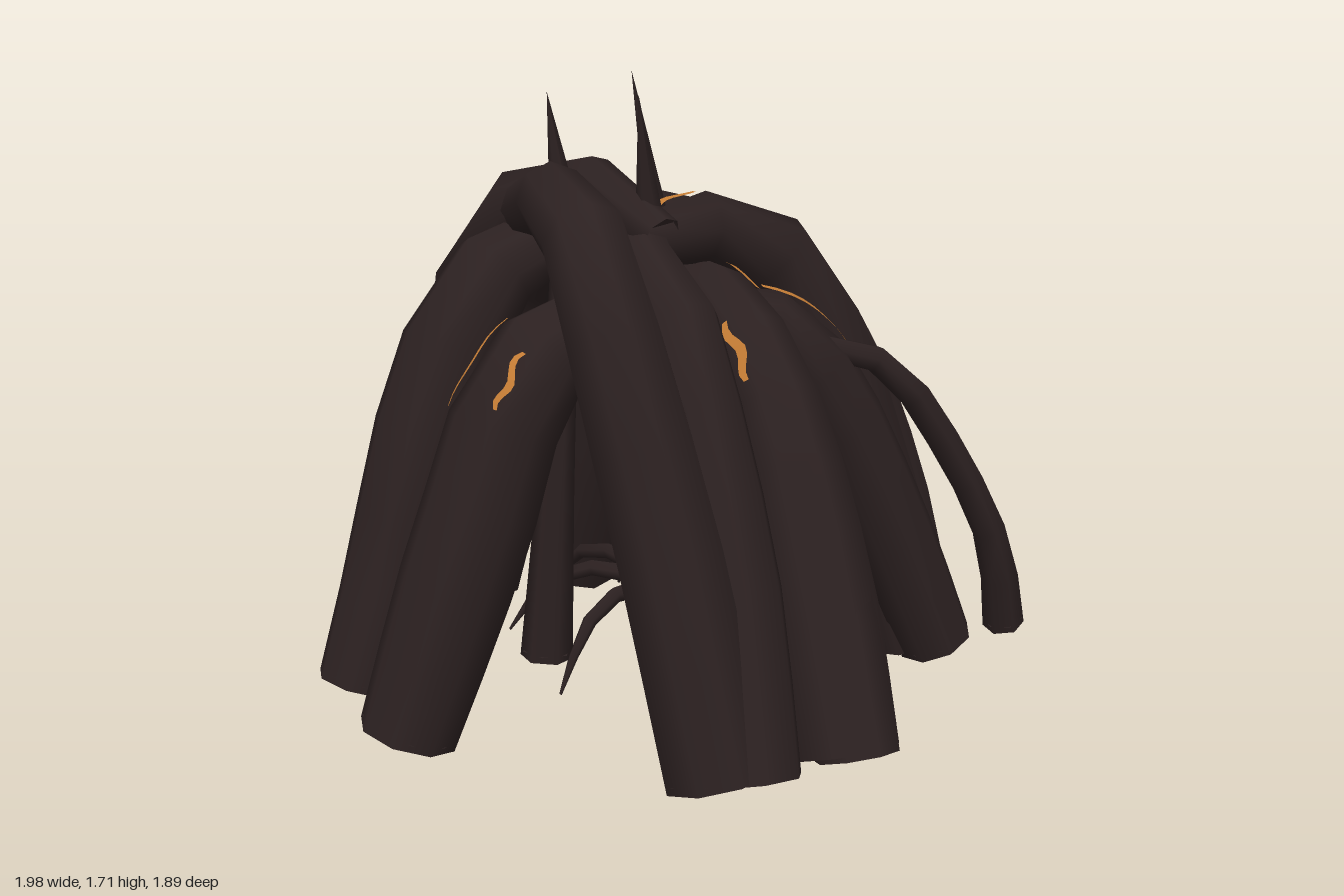
import * as THREE from 'three';

const bark = new THREE.MeshStandardMaterial({ color: 0x2c2121, side: THREE.DoubleSide });
bark.name = 'darkBark';
const amber = new THREE.MeshStandardMaterial({ color: 0xc57d35, side: THREE.DoubleSide });
amber.name = 'amber';

const V = (p) => new THREE.Vector3(...p);

function addMesh(parent, name, geometry, material = bark) {
  const mesh = new THREE.Mesh(geometry, material);
  mesh.name = name;
  parent.add(mesh);
  return mesh;
}

// Radius at u, with the radii spread evenly along the path
function radiusAt(radii, u) {
  const f = u * (radii.length - 1);
  const k = Math.min(Math.floor(f), radii.length - 2);
  return THREE.MathUtils.lerp(radii[k], radii[k + 1], f - k);
}

// Tapering tube
function limbGeometry(curve, radii, segments, sides) {
  const geo = new THREE.TubeGeometry(curve, segments, 1, sides, false);
  const pos = geo.attributes.position;
  const v = new THREE.Vector3();
  for (let i = 0; i <= segments; i++) {
    const centre = curve.getPointAt(i / segments);
    const r = radiusAt(radii, i / segments);
    for (let j = 0; j <= sides; j++) {
      const n = i * (sides + 1) + j;
      v.fromBufferAttribute(pos, n).sub(centre).multiplyScalar(r).add(centre);
      pos.setXYZ(n, v.x, v.y, v.z);
    }
  }
  return geo;
}

// A drooping limb with recessed end caps
function limb(parent, name, points, radii, segments = 7, sides = 8) {
  const curve = new THREE.CatmullRomCurve3(points.map(V));
  const group = new THREE.Group();
  group.name = name;
  parent.add(group);
  addMesh(group, 'shaft', limbGeometry(curve, radii, segments, sides));
  [[0, -1, radii[0]], [1, 1, radii[radii.length - 1]]].forEach(([u, sign, r]) => {
    const cap = addMesh(group, 'endCap', new THREE.CircleGeometry(r * 0.97, sides));
    const dir = curve.getTangentAt(u).multiplyScalar(sign);
    cap.position.copy(curve.getPointAt(u)).addScaledVector(dir, -0.02);
    cap.quaternion.setFromUnitVectors(new THREE.Vector3(0, 0, 1), dir);
  });
  return { curve, radii };
}

// Thin wavering ribbon lying on a limb's surface
function crack(parent, { curve, radii }, u0, u1, outward, width) {
  const verts = [], index = [], steps = 8;
  for (let i = 0; i <= steps; i++) {
    const u = THREE.MathUtils.lerp(u0, u1, i / steps);
    const t = curve.getTangentAt(u);
    const out = V(outward);
    out.addScaledVector(t, -out.dot(t)).normalize();
    const side = new THREE.Vector3().crossVectors(t, out);
    const p = curve.getPointAt(u).addScaledVector(out, radiusAt(radii, u) + 0.003);
    p.addScaledVector(side, 0.01 * Math.sin(i * 1.1));
    const w = width * (0.5 + 0.5 * Math.sin((Math.PI * i) / steps));
    for (const s of [-w, w]) verts.push(...p.clone().addScaledVector(side, s).toArray());
    if (i < steps) {
      const a = i * 2;
      index.push(a, a + 1, a + 2, a + 1, a + 3, a + 2);
    }
  }
  const geo = new THREE.BufferGeometry();
  geo.setAttribute('position', new THREE.Float32BufferAttribute(verts, 3));
  geo.setIndex(index);
  geo.computeVertexNormals();
  addMesh(parent, 'amberCrack', geo, amber);
}

export function createModel() {
  const model = new THREE.Group();
  model.name = 'droopingRootMound';

  // Front limbs
  limb(model, 'frontOuterLimb', [[-0.33, 1.34, -0.2], [-0.38, 1.4, 0.08], [-0.41, 1.31, 0.36], [-0.4, 1.04, 0.51],
    [-0.34, 0.6, 0.65], [-0.28, 0.06, 0.79]], [0.08, 0.11, 0.13, 0.14, 0.14]);
  limb(model, 'frontMiddleLimb', [[-0.1, 1.3, 0.0], [-0.18, 1.23, 0.2], [-0.18, 1.13, 0.38], [-0.18, 0.93, 0.49],
    [-0.18, 0.55, 0.64], [-0.21, 0.05, 0.81]], [0.07, 0.1, 0.12, 0.14, 0.14]);
  const front = limb(model, 'frontInnerLimb', [[0.05, 1.1, -0.2], [0.06, 1.12, 0.0], [0.06, 1.09, 0.22], [0.07, 0.92, 0.42],
    [0.08, 0.55, 0.61], [0.08, 0.06, 0.8]], [0.09, 0.1, 0.115, 0.14, 0.15, 0.14], 9);
  limb(model, 'frontInnerStrand', [[0.07, 1.08, 0.34], [0.07, 0.92, 0.46], [0.09, 0.55, 0.65], [0.09, 0.06, 0.84]],
    [0.05, 0.08, 0.11, 0.11]);

  // Back limbs
  limb(model, 'backOuterLimb', [[-0.13, 1.3, 0.2], [-0.18, 1.4, 0.02], [-0.28, 1.37, -0.2], [-0.37, 1.22, -0.39],
    [-0.37, 0.9, -0.5], [-0.35, 0.5, -0.64], [-0.32, 0.08, -0.79]], [0.06, 0.11, 0.14, 0.15, 0.14]);
  limb(model, 'backOuterStrand', [[-0.25, 1.22, -0.22], [-0.23, 1.1, -0.4], [-0.22, 0.85, -0.5], [-0.22, 0.5, -0.63],
    [-0.25, 0.08, -0.78]], [0.08, 0.12, 0.12, 0.11]);
  const back = limb(model, 'backInnerLimb', [[0.08, 1.05, 0.0], [0.09, 1.13, -0.17], [0.09, 1.12, -0.33],
    [0.09, 0.95, -0.45], [0.08, 0.5, -0.63], [0.08, 0.08, -0.81]], [0.07, 0.15, 0.17, 0.17, 0.15]);
  limb(model, 'backInnerStrand', [[0.15, 1.08, -0.18], [0.19, 0.9, -0.38], [0.2, 0.55, -0.55],
    [0.17, 0.08, -0.76]], [0.07, 0.11, 0.11, 0.1]);

  // Right limbs
  limb(model, 'rightBackLimb', [[0.02, 1.23, -0.22], [-0.28, 1.25, -0.23], [-0.5, 1.11, -0.19], [-0.65, 0.78, -0.17],
    [-0.76, 0.4, -0.17], [-0.87, 0.07, -0.17]], [0.08, 0.12, 0.15, 0.14, 0.12]);
  const right = limb(model, 'rightFrontLimb', [[-0.1, 1.1, 0.17], [-0.35, 1.1, 0.23], [-0.55, 0.98, 0.26],
    [-0.68, 0.65, 0.26], [-0.87, 0.07, 0.21]], [0.08, 0.13, 0.15, 0.15, 0.13]);

  // Left limbs with their outer strands
  const left = limb(model, 'leftFrontLimb', [[-0.18, 1.28, 0.15], [0.04, 1.3, 0.08], [0.27, 1.22, 0.07],
    [0.43, 0.97, 0.11], [0.56, 0.55, 0.14], [0.71, 0.05, 0.17]], [0.07, 0.12, 0.13, 0.15, 0.14]);
  limb(model, 'leftFrontStrand', [[0.2, 1.2, 0.06], [0.45, 1.03, 0.06], [0.68, 0.6, 0.07], [0.84, 0.09, 0.1]],
    [0.07, 0.1, 0.09, 0.07]);
  const lower = limb(model, 'leftLowerLimb', [[0.0, 1.08, 0.17], [0.2, 1.03, 0.22], [0.38, 0.8, 0.25], [0.57, 0.42, 0.27],
    [0.73, 0.06, 0.28]], [0.08, 0.12, 0.12, 0.12, 0.11]);
  limb(model, 'leftBackLimb', [[-0.2, 1.24, -0.18], [0.05, 1.28, -0.25], [0.28, 1.2, -0.24], [0.45, 0.92, -0.19],
    [0.56, 0.55, -0.17], [0.71, 0.05, -0.17]], [0.07, 0.11, 0.13, 0.14, 0.14]);
  limb(model, 'leftBackStrand', [[0.25, 1.17, -0.2], [0.47, 0.97, -0.17], [0.66, 0.55, -0.12], [0.79, 0.08, -0.12]],
    [0.07, 0.1, 0.09, 0.07]);

  // Slender outer tendrils
  limb(model, 'frontTendril', [[0.32, 0.98, 0.27], [0.5, 0.92, 0.32], [0.73, 0.62, 0.35], [0.87, 0.35, 0.36],
    [0.94, 0.09, 0.33]], [0.035, 0.045, 0.045, 0.06], 7, 6);
  limb(model, 'backTendril', [[0.28, 1.2, -0.25], [0.54, 0.97, -0.28], [0.76, 0.6, -0.28], [0.86, 0.36, -0.28],
    [0.92, 0.1, -0.27]], [0.06, 0.06, 0.05, 0.065], 7, 6);

  // Inner hanging roots
  limb(model, 'hangingRoot', [[-0.26, 1.2, -0.12], [-0.29, 0.7, -0.12], [-0.33, 0.06, -0.13]], [0.04, 0.05, 0.075], 5, 6);
  limb(model, 'centralStump', [[0.0, 0.34, 0.0], [0.04, 0.2, 0.03], [0.07, 0.07, 0.06]], [0.03, 0.07, 0.08], 3, 6);

  // Thin rootlets arching out from the stump
  [[0.14, -0.62], [-0.13, -0.6], [-0.35, -0.35], [-0.4, 0.12], [0.12, -0.38]].forEach(([x, z], i) => {
    limb(model, 'rootlet', [[0, 0.26, 0], [x * 0.45, 0.29, z * 0.45], [x * 0.75, 0.23, z * 0.75], [x, 0.05 + 0.01 * (i % 3), z]],
      [0.03, 0.024, 0.02, 0.004], 5, 5);
  });

  // Crown thorns: base, tip, base radius
  [[[-0.32, 1.4, 0.0], [-0.36, 1.67, 0.0], 0.035],
    [[-0.13, 1.36, 0.13], [-0.18, 1.67, 0.17], 0.035],
    [[0.04, 1.18, -0.11], [-0.05, 1.71, -0.13], 0.042]].forEach(([a, b, r]) => {
    const base = V(a), dir = V(b).sub(base), height = dir.length();
    const thorn = addMesh(model, 'thorn', new THREE.ConeGeometry(r, height, 6));
    thorn.position.copy(base).addScaledVector(dir, 0.5);
    thorn.quaternion.setFromUnitVectors(new THREE.Vector3(0, 1, 0), dir.normalize());
  });

  // Amber cracks in the bark
  crack(model, back, 0.28, 0.48, [0.1, 1, -0.6], 0.018);
  crack(model, left, 0.02, 0.12, [0, 1, 0.05], 0.012);
  crack(model, lower, 0.11, 0.29, [0.65, 0.85, 0.3], 0.022);
  crack(model, right, 0.29, 0.42, [-0.3, 1, -0.15], 0.007);
  crack(model, right, 0.32, 0.4, [-0.3, 0.6, 0.7], 0.01);
  crack(model, front, 0.04, 0.28, [0.45, 1, 0], 0.014);
  crack(model, front, 0.05, 0.27, [-0.85, 0.6, 0], 0.008);
  crack(model, front, 0.32, 0.42, [-0.9, 0.6, 0.4], 0.015);

  return model;
}
